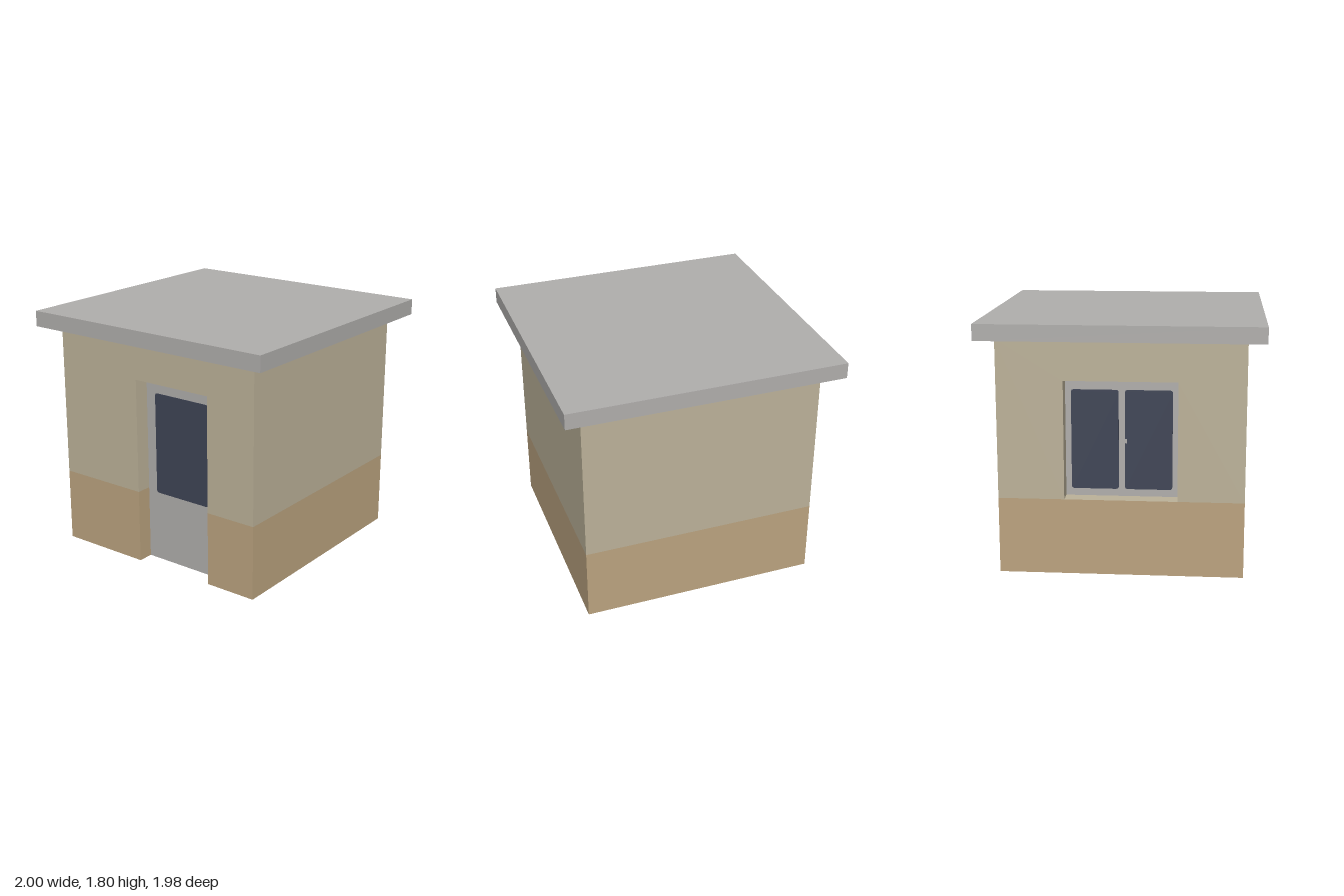
import * as THREE from 'three';

const HALF = 0.865;      // half width of the walls
const BAND = 0.548;      // top of the lower colour band
const TOP = 1.685;       // top of the walls
const DEPTH = 0.115;     // recess of door and window
const INNER = HALF - DEPTH;

function material(name, color, side = THREE.FrontSide) {
  const m = new THREE.MeshStandardMaterial({ color, side });
  m.name = name;
  return m;
}

function polygon(points) {
  return new THREE.ShapeGeometry(new THREE.Shape(points.map(([x, y]) => new THREE.Vector2(x, y))));
}

function roundedPlate(x0, x1, y0, y1, r, depth) {
  const s = new THREE.Shape();
  s.moveTo(x0 + r, y0);
  s.lineTo(x1 - r, y0).quadraticCurveTo(x1, y0, x1, y0 + r);
  s.lineTo(x1, y1 - r).quadraticCurveTo(x1, y1, x1 - r, y1);
  s.lineTo(x0 + r, y1).quadraticCurveTo(x0, y1, x0, y1 - r);
  s.lineTo(x0, y0 + r).quadraticCurveTo(x0, y0, x0 + r, y0);
  return new THREE.ExtrudeGeometry(s, { depth, bevelEnabled: false, curveSegments: 4 });
}

export function createModel() {
  const plaster = material('upper plaster', 0xbdb39a, THREE.DoubleSide);
  const base = material('lower plaster', 0xbca480, THREE.DoubleSide);
  const grey = material('grey concrete', 0xb1afad, THREE.DoubleSide);
  const glass = material('dark glass', 0x3f4556);

  const model = new THREE.Group();
  model.name = 'hut';

  function add(parent, name, geometry, mat, x = 0, y = 0, z = 0) {
    const mesh = new THREE.Mesh(geometry, mat);
    mesh.name = name;
    mesh.position.set(x, y, z);
    parent.add(mesh);
    return mesh;
  }

  // flat rectangle facing the wall's outward direction
  function rect(parent, name, x0, x1, y0, y1, z, mat) {
    return add(parent, name, new THREE.PlaneGeometry(x1 - x0, y1 - y0), mat, (x0 + x1) / 2, (y0 + y1) / 2, z);
  }

  // side of a recess
  function jamb(parent, name, x, y0, y1, mat) {
    rect(parent, name, x - DEPTH / 2, x + DEPTH / 2, y0, y1, HALF - DEPTH / 2, mat).rotation.y = Math.PI / 2;
  }

  // top or bottom of a recess
  function ledge(parent, name, x0, x1, y, mat) {
    rect(parent, name, x0, x1, y - DEPTH / 2, y + DEPTH / 2, HALF - DEPTH / 2, mat).rotation.x = -Math.PI / 2;
  }

  function wall(name, angle) {
    const g = new THREE.Group();
    g.name = name;
    g.rotation.y = angle;
    model.add(g);
    return g;
  }

  // upper wall with an opening that starts at the colour band
  function notchedUpper(parent, x0, x1, y1) {
    add(parent, 'upperWall', polygon([
      [-HALF, BAND], [x0, BAND], [x0, y1], [x1, y1], [x1, BAND],
      [HALF, BAND], [HALF, TOP], [-HALF, TOP],
    ]), plaster, 0, 0, HALF);
    for (const x of [x0, x1]) jamb(parent, 'upperJamb', x, BAND, y1, plaster);
    ledge(parent, 'lintel', x0, x1, y1, plaster);
  }

  // plain back and right walls
  for (const [name, angle] of [['backWall', Math.PI], ['plainSideWall', Math.PI / 2]]) {
    const g = wall(name, angle);
    rect(g, 'upperWall', -HALF, HALF, BAND, TOP, HALF, plaster);
    rect(g, 'lowerWall', -HALF, HALF, 0, BAND, HALF, base);
  }

  // front wall with recessed door
  const front = wall('frontWall', 0);
  const d0 = -0.16, d1 = 0.475, doorTop = 1.4;
  notchedUpper(front, d0, d1, doorTop);
  rect(front, 'lowerWall', -HALF, d0, 0, BAND, HALF, base);
  rect(front, 'lowerWall', d1, HALF, 0, BAND, HALF, base);
  for (const x of [d0, d1]) jamb(front, 'lowerJamb', x, 0, BAND, base);
  rect(front, 'door', d0, d1, 0, doorTop, INNER, grey);
  add(front, 'doorGlass', roundedPlate(-0.08, 0.395, 0.53, 1.29, 0.02, 0.008), glass, 0, 0, INNER - 0.004);

  // side wall with recessed two-pane window
  const side = wall('windowWall', -Math.PI / 2);
  const w = 0.397, windowTop = 1.395;
  notchedUpper(side, -w, w, windowTop);
  rect(side, 'lowerWall', -HALF, HALF, 0, BAND, HALF, base);
  ledge(side, 'windowSill', -w, w, BAND, plaster);
  rect(side, 'windowFrame', -w, w, BAND, windowTop, INNER, grey);
  for (const s of [-1, 1]) {
    const [a, b] = [s * 0.022, s * 0.356].sort((p, q) => p - q);
    add(side, 'windowPane', roundedPlate(a, b, 0.6, 1.315, 0.02, 0.008), glass, 0, 0, INNER - 0.004);
  }
  add(side, 'windowLatch', new THREE.BoxGeometry(0.03, 0.03, 0.009), grey, 0.022, 0.95, INNER + 0.001);

  // flat overhanging roof slab
  add(model, 'roof', new THREE.BoxGeometry(2, 0.115, 1.98), grey, 0, 1.7425, 0);

  return model;
}
